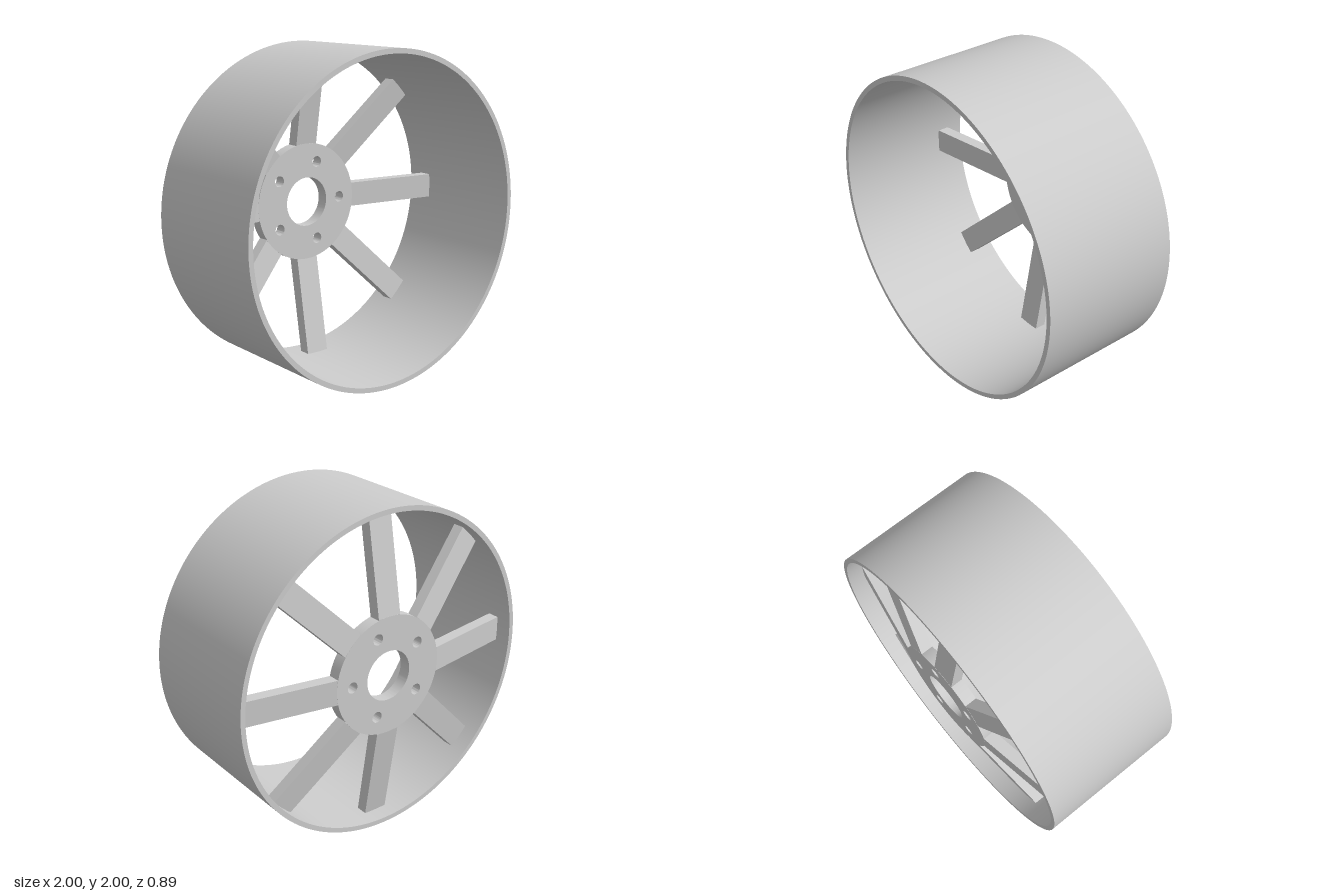
import * as THREE from 'three';
import { toCreasedNormals } from 'three/addons/utils/BufferGeometryUtils.js';

const HALF = 0.443;                    // half width of the rim
const HUB_R = 0.37, HUB_T = 0.077;     // hub disc radius and thickness
const RIM_IN = 0.97;                   // inner radius of the rim
const SPOKE_W = 0.154;
const SLOPE = Math.tan(THREE.MathUtils.degToRad(10));

function circlePath(PathType, x, y, r) {
  const p = new PathType();
  p.absarc(x, y, r, 0, Math.PI * 2, false);
  return p;
}

// Disc with round holes, extruded along z
function piercedDisc(radius, holes, depth, segments) {
  const shape = circlePath(THREE.Shape, 0, 0, radius);
  for (const [x, y, r] of holes) shape.holes.push(circlePath(THREE.Path, x, y, r));
  const geo = new THREE.ExtrudeGeometry(shape, { depth, bevelEnabled: false, curveSegments: segments });
  return toCreasedNormals(geo, 0.6);
}

export function createModel() {
  const metal = new THREE.MeshStandardMaterial({ color: 0xcccccc });
  metal.name = 'light grey metal';

  const model = new THREE.Group();
  model.name = 'wheel';
  const wheel = new THREE.Group();
  wheel.name = 'wheelParts';
  wheel.position.y = 1;
  model.add(wheel);

  const add = (name, geo, z = 0) => {
    const mesh = new THREE.Mesh(geo, metal);
    mesh.name = name;
    mesh.position.z = z;
    wheel.add(mesh);
    return mesh;
  };

  // Wide thin rim
  add('rim', piercedDisc(1, [[0, 0, RIM_IN]], HALF * 2, 128), -HALF);

  // Hub flush with the back, with a centre bore and five bolt holes
  const holes = [[0, 0, 0.155]];
  for (let i = 0; i < 5; i++) {
    const a = (i / 5) * Math.PI * 2;
    holes.push([0.26 * Math.cos(a), 0.26 * Math.sin(a), 0.034]);
  }
  add('hub', piercedDisc(HUB_R, holes, HUB_T, 64), -HALF);

  // Spokes lean forward from the hub edge to the rim; section in (radius, z)
  const tip = RIM_IN + 0.008;
  const rise = (tip - HUB_R) * SLOPE;
  const section = new THREE.Shape([
    [0.345, 0.002], [HUB_R - 0.003, 0.001], [tip, rise],
    [tip, rise + HUB_T - 0.004], [HUB_R - 0.003, HUB_T - 0.001], [0.345, HUB_T - 0.003],
  ].map(([r, z]) => new THREE.Vector2(r, z)));
  const spokeGeo = new THREE.ExtrudeGeometry(section, { depth: SPOKE_W, bevelEnabled: false });
  spokeGeo.translate(0, 0, -SPOKE_W / 2);
  spokeGeo.rotateX(Math.PI / 2);
  for (let i = 0; i < 8; i++) {
    add('spoke' + (i + 1), spokeGeo, -HALF).rotation.z = (i * Math.PI) / 4;
  }

  return model;
}
